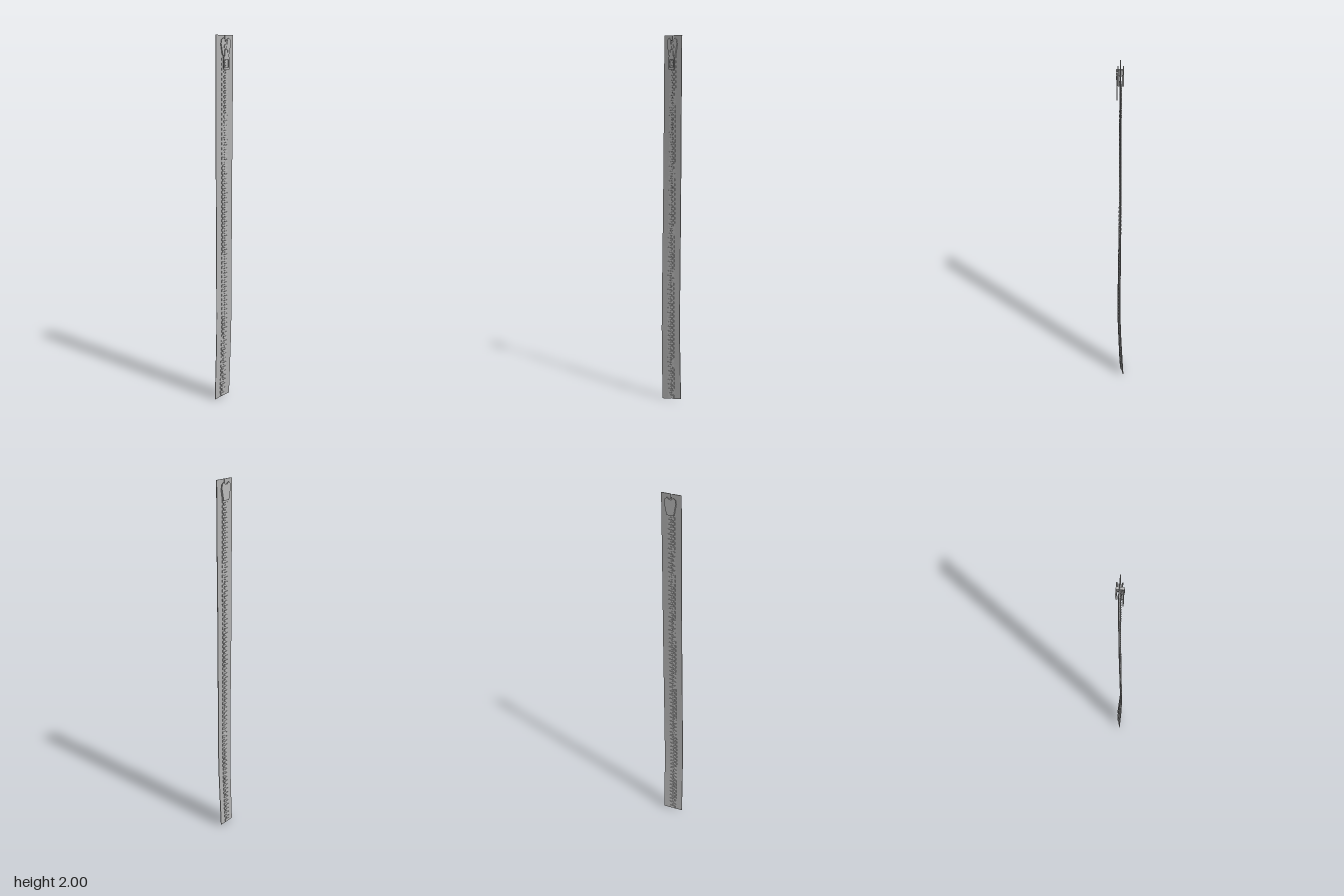
import * as THREE from 'three';
import { mergeGeometries } from 'three/addons/utils/BufferGeometryUtils.js';

const tapeGrey = new THREE.MeshStandardMaterial({ color: 0xb4b4b4, flatShading: true });
tapeGrey.name = 'tape grey';
const metalGrey = new THREE.MeshStandardMaterial({ color: 0xbcbcbc, flatShading: true });
metalGrey.name = 'metal grey';

// Sideways lean, gentle wave and a twist that grows towards the bottom
const wave = new THREE.CatmullRomCurve3([
  [0, -0.008], [0.18, -0.001], [0.4, 0.006], [0.7, 0.005], [1.1, 0.001], [1.6, -0.001], [2, -0.002],
].map(([y, z]) => new THREE.Vector3(0, y, z))).getPoints(80);

function waveZ(y) {
  for (let i = 1; i < wave.length; i++) {
    const a = wave[i - 1], b = wave[i];
    if (y <= b.y) return a.z + (b.z - a.z) * Math.max(0, (y - a.y) / (b.y - a.y));
  }
  return wave[wave.length - 1].z;
}

function bend(geometry) {
  const p = geometry.attributes.position;
  for (let i = 0; i < p.count; i++) {
    const x = p.getX(i), y = p.getY(i);
    const low = Math.max(0, 1 - y / 0.4);
    const slope = -0.17 * Math.max(0, 1 - y / 1.7);
    p.setXYZ(i, x - 0.009 + 0.0065 * y, y + 0.09 * (x + 0.054) * low, p.getZ(i) + waveZ(y) + slope * x);
  }
  geometry.computeVertexNormals();
  return geometry;
}

function outline(points) {
  return new THREE.Shape(points.map(([x, y]) => new THREE.Vector2(x, y)));
}

// Flat plate cut from a shape, centred on z
function plate(shape, depth, z = 0) {
  return new THREE.ExtrudeGeometry(shape, { depth, bevelEnabled: false, curveSegments: 8 })
    .translate(0, 0, z - depth / 2);
}

function box(w, h, d, x, y, z) {
  return new THREE.BoxGeometry(w, h, d).translate(x, y, z);
}

export function createModel() {
  const model = new THREE.Group();
  model.name = 'zipper';
  const add = (name, geometry, material, parent = model) => {
    const mesh = new THREE.Mesh(geometry, material);
    mesh.name = name;
    parent.add(mesh);
  };

  const pitch = 0.026;
  for (const side of [-1, 1]) {
    const label = side > 0 ? 'left' : 'right';
    // Fabric tape with a thicker cord along its inner edge
    const tape = new THREE.BoxGeometry(0.052, 2, 0.004, 2, 48, 1).translate(side * 0.028, 1, 0);
    add(label + 'Tape', bend(tape), tapeGrey);
    const cord = new THREE.BoxGeometry(0.006, 1.9, 0.008, 1, 48, 1).translate(side * 0.007, 0.96, 0);
    add(label + 'Cord', bend(cord), tapeGrey);

    // Interlocking teeth, each with a narrow neck and a wider head
    const tooth = outline([
      [0.019, -0.007], [0.019, 0.007], [0.008, 0.006], [0.002, 0.004], [-0.003, 0.006],
      [-0.007, 0.004], [-0.007, -0.004], [-0.003, -0.006], [0.002, -0.004], [0.008, -0.006],
    ]);
    const teeth = [];
    for (let i = 0; i < 72; i++) {
      const g = plate(tooth, 0.012);
      if (side < 0) g.rotateZ(Math.PI);
      teeth.push(g.translate(0, 0.03 + i * pitch + (side > 0 ? pitch / 2 : 0), 0));
    }
    add(label + 'Teeth', bend(mergeGeometries(teeth)), metalGrey);
  }

  // Stop across the bottom of the teeth
  add('bottomStop', bend(box(0.03, 0.016, 0.013, 0, 0.014, 0)), metalGrey);

  // Slider: two shield-shaped plates joined by a wedge, with side flanges
  const slider = new THREE.Group();
  slider.name = 'slider';
  slider.position.set(0.004, 1.94, 0);
  model.add(slider);
  const shield = outline([
    [-0.019, -0.045], [0.019, -0.045], [0.024, -0.02], [0.031, 0.015], [0.029, 0.036],
    [0.017, 0.045], [0.006, 0.036], [-0.006, 0.036], [-0.017, 0.045], [-0.029, 0.036],
    [-0.031, 0.015], [-0.024, -0.02],
  ]);
  add('frontPlate', plate(shield, 0.004, 0.010), metalGrey, slider);
  add('backPlate', plate(shield, 0.005, -0.016), metalGrey, slider);
  add('wedge', plate(outline([[0, -0.002], [0.007, 0.034], [-0.007, 0.034]]), 0.026, -0.003), metalGrey, slider);
  for (const s of [-1, 1]) {
    for (const [name, z] of [['frontFlange', 0.0065], ['backFlange', -0.0115]]) {
      const flange = box(0.003, 0.062, 0.006, 0, 0, 0).rotateZ(-s * 0.17).translate(s * 0.0235, -0.013, z);
      add(name, flange, metalGrey, slider);
    }
  }

  // Bridge that holds the pull tab
  add('bridgeBar', box(0.012, 0.05, 0.003, 0, 0.008, 0.0195), metalGrey, slider);
  for (const y of [-0.013, 0.029]) add('bridgeFoot', box(0.012, 0.008, 0.01, 0, y, 0.015), metalGrey, slider);

  // Pull tab with a ring opening above and a rectangular window below
  const pull = outline([
    [-0.018, -0.118], [0.018, -0.118], [0.018, -0.055], [0.011, -0.046], [0.013, 0.004],
    [0.009, 0.012], [-0.009, 0.012], [-0.013, 0.004], [-0.011, -0.046], [-0.018, -0.055],
  ]);
  pull.holes.push(
    new THREE.Path([[-0.007, -0.03], [-0.007, 0.003], [0.007, 0.003], [0.007, -0.03]]
      .map(([x, y]) => new THREE.Vector2(x, y))),
    new THREE.Path([[-0.011, -0.108], [-0.011, -0.066], [0.011, -0.066], [0.011, -0.108]]
      .map(([x, y]) => new THREE.Vector2(x, y))),
  );
  add('pullTab', plate(pull, 0.004, 0.0155), metalGrey, slider);
  return model;
}
